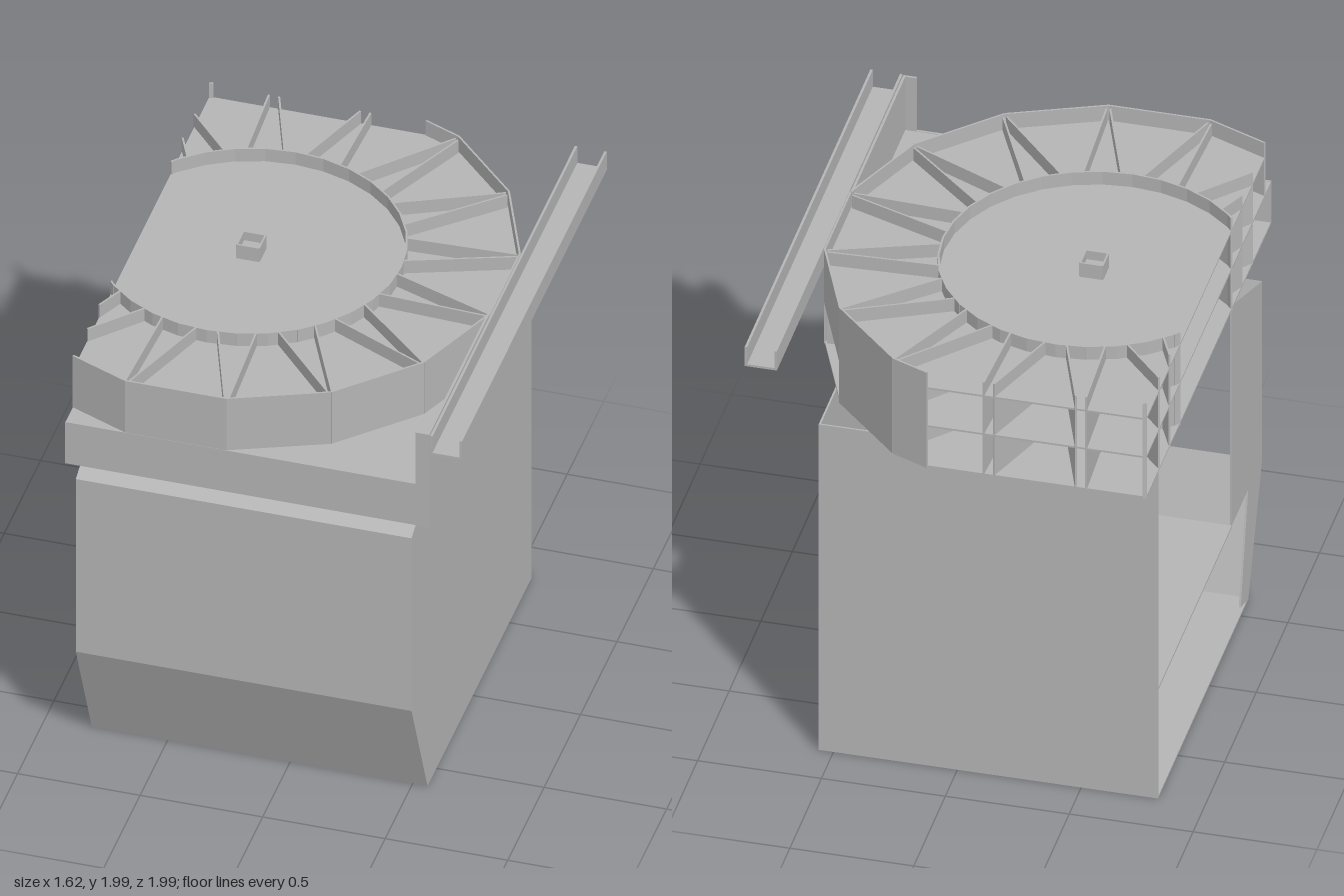
import * as THREE from 'three';

const gray = new THREE.MeshStandardMaterial({ color: 0xb4b4b4 });
gray.name = 'plain gray';

const T = 0.008;                       // sheet thickness
const CX = -0.36, CZ = -0.055, R = 1.055, HUB = 0.61;
const MIN_X = -0.81, MIN_Z = -0.995;   // cut planes through the drum

export function createModel() {
  const root = new THREE.Group();
  const add = (name, geometry, parent = root) => {
    const mesh = new THREE.Mesh(geometry, gray);
    mesh.name = name;
    parent.add(mesh);
    return mesh;
  };
  const group = (name) => {
    const g = new THREE.Group();
    g.name = name;
    root.add(g);
    return g;
  };
  const box = (name, x0, x1, y0, y1, z0, z1, parent) => {
    const m = add(name, new THREE.BoxGeometry(x1 - x0, y1 - y0, z1 - z0), parent);
    m.position.set((x0 + x1) / 2, (y0 + y1) / 2, (z0 + z1) / 2);
    return m;
  };
  const extrude = (pts) => new THREE.ExtrudeGeometry(
    new THREE.Shape(pts.map(([a, b]) => new THREE.Vector2(a, b))),
    { depth: T, bevelEnabled: false });

  // Horizontal sheet from x,z points, top at y
  const sheet = (name, pts, y, parent) => {
    add(name, extrude(pts).rotateX(Math.PI / 2), parent).position.y = y;
  };
  // Upright sheet from z,y points, spanning x to x - T
  const sidePanel = (name, pts, x, parent) => {
    add(name, extrude(pts).rotateY(-Math.PI / 2), parent).position.x = x;
  };
  // Keep the part of a point list on the positive side of one axis limit
  const clipAxis = (pts, axis, min, closed) => {
    const out = [];
    pts.forEach((p, i) => {
      if (p[axis] >= min) out.push(p);
      if (!closed && i === pts.length - 1) return;
      const q = pts[(i + 1) % pts.length];
      if ((p[axis] < min) !== (q[axis] < min)) {
        const t = (min - p[axis]) / (q[axis] - p[axis]);
        out.push([p[0] + (q[0] - p[0]) * t, p[1] + (q[1] - p[1]) * t]);
      }
    });
    return out;
  };
  const clip = (pts, closed) => clipAxis(clipAxis(pts, 0, MIN_X, closed), 1, MIN_Z, closed);
  // Thin upright wall between two x,z points, cut at the drum's limits
  const wall = (name, p, q, y0, y1, parent) => {
    const c = clip([p, q], false);
    if (c.length < 2) return;
    const [a, b] = c, dx = b[0] - a[0], dz = b[1] - a[1];
    const m = add(name, new THREE.BoxGeometry(Math.hypot(dx, dz), y1 - y0, T), parent);
    m.position.set((a[0] + b[0]) / 2, (y0 + y1) / 2, (a[1] + b[1]) / 2);
    m.rotation.y = -Math.atan2(dz, dx);
  };
  const polar = (r, deg) => {
    const a = THREE.MathUtils.degToRad(deg);
    return [CX + r * Math.cos(a), CZ + r * Math.sin(a)];
  };

  // Cabinet, open on its right side
  const cabinet = group('cabinet');
  const X0 = -0.81, X1 = 0.56, W = X1 - X0, XM = (X0 + X1) / 2;
  sidePanel('cabinetSide',
    [[-0.81, 0], [0.62, 0], [0.84, 0.52], [0.84, 1.36], [0.41, 1.54], [-0.81, 1.54]], X1, cabinet);
  sidePanel('sideStrip',
    [[0.36, 0.52], [0.84, 0.52], [0.84, 1.36], [0.41, 1.54], [0.36, 1.54]], X0 + T, cabinet);
  sidePanel('lowerSideStrip', [[0.5, 0.04], [0.62, 0], [0.84, 0.52], [0.62, 0.52]], X0 + T, cabinet);
  box('cabinetBack', X0, X1, 0, 1.54, -0.81, -0.81 + T, cabinet);
  box('cabinetFloor', X0, X1, 0, T, -0.81, 0.62, cabinet);
  box('cabinetShelf', X0, X1 - T, 0.51, 0.52, -0.8, 0.36, cabinet);
  const frontFace = (name, y0, z0, y1, z1) => {
    const m = add(name, new THREE.PlaneGeometry(W, Math.hypot(y1 - y0, z1 - z0)), cabinet);
    m.position.set(XM, (y0 + y1) / 2, (z0 + z1) / 2);
    m.rotation.x = Math.atan2(z1 - z0, y1 - y0);
    return m;
  };
  frontFace('lowerFrontSlope', 0, 0.62, 0.52, 0.84);
  frontFace('lowerFrontSlopeInside', 0, 0.615, 0.52, 0.835).rotation.x += Math.PI;
  frontFace('frontPanel', 0.52, 0.84, 1.36, 0.84);
  frontFace('upperFrontSlope', 1.36, 0.84, 1.54, 0.41);

  // Drum: sixteen-sided shelves
  const drum = group('drum');
  const corners = Array.from({ length: 16 }, (_, i) => polar(R, 11.25 + i * 22.5));
  const outline = clip(corners, true);
  for (const y of [1.55, 1.74, 1.92]) sheet('drumShelf', outline, y, drum);

  // Outer facets, lower ones only where no tray encloses them
  corners.forEach((p, i) => {
    const q = corners[(i + 1) % 16];
    const midZ = (p[1] + q[1]) / 2, midX = (p[0] + q[0]) / 2;
    const raised = midZ > 0.2 || (midX > 0.55 && midZ < -0.3);
    wall('drumFacet', p, q, raised ? 1.74 : 1.54, 1.99, drum);
  });
  box('facetBacking', 0.5, 0.5 + T, 1.54, 1.74, -0.63, -0.26, drum);

  // Paired ribs spreading inward from each corner
  for (let i = 0; i < 16; i++) {
    const a = 11.25 + i * 22.5;
    for (const s of [-1, 1]) wall('rib', polar(R - 0.01, a + s * 0.4), polar(HUB, a + s * 7), 1.545, 1.98, drum);
  }
  // Raised rim and centre socket
  for (let i = 0; i < 32; i++) {
    wall('innerRim', polar(HUB, i * 11.25), polar(HUB, (i + 1) * 11.25), 1.54, 1.98, drum);
  }
  const s = 0.045;
  for (const d of [-1, 1]) {
    wall('socketSide', [CX - s, CZ + d * s], [CX + s, CZ + d * s], 1.92, 1.985, drum);
    wall('socketSide', [CX + d * s, CZ - s], [CX + d * s, CZ + s], 1.92, 1.985, drum);
  }
  box('socketBase', CX - s, CX + s, 1.92, 1.945, CZ - s, CZ + s, drum);

  // Square tray around the front half of the drum
  const tray = group('tray');
  const trayOutline = [[-0.81, 0.15], [0.67, 0.15], [0.67, 0.98], [-0.81, 0.98]];
  sheet('trayBottom', trayOutline, 1.548, tray);
  sheet('trayTop', trayOutline, 1.738, tray);
  box('trayFront', -0.81, 0.67, 1.54, 1.74, 0.975, 0.985, tray);
  box('traySide', 0.665, 0.675, 1.54, 1.99, 0.15, 0.985, tray);
  box('trayCornerPost', 0.62, 0.67, 1.54, 1.99, 0.975, 0.985, tray);

  // Side rail, a channel open at the top
  const rail = group('sideRail');
  box('railBase', 0.68, 0.81, 1.9, 1.91, -1, 0.99, rail);
  box('railInnerFlange', 0.68, 0.69, 1.9, 1.99, -1, 0.99, rail);
  box('railOuterFlange', 0.8, 0.81, 1.9, 1.99, -1, 0.99, rail);

  return root;
}
